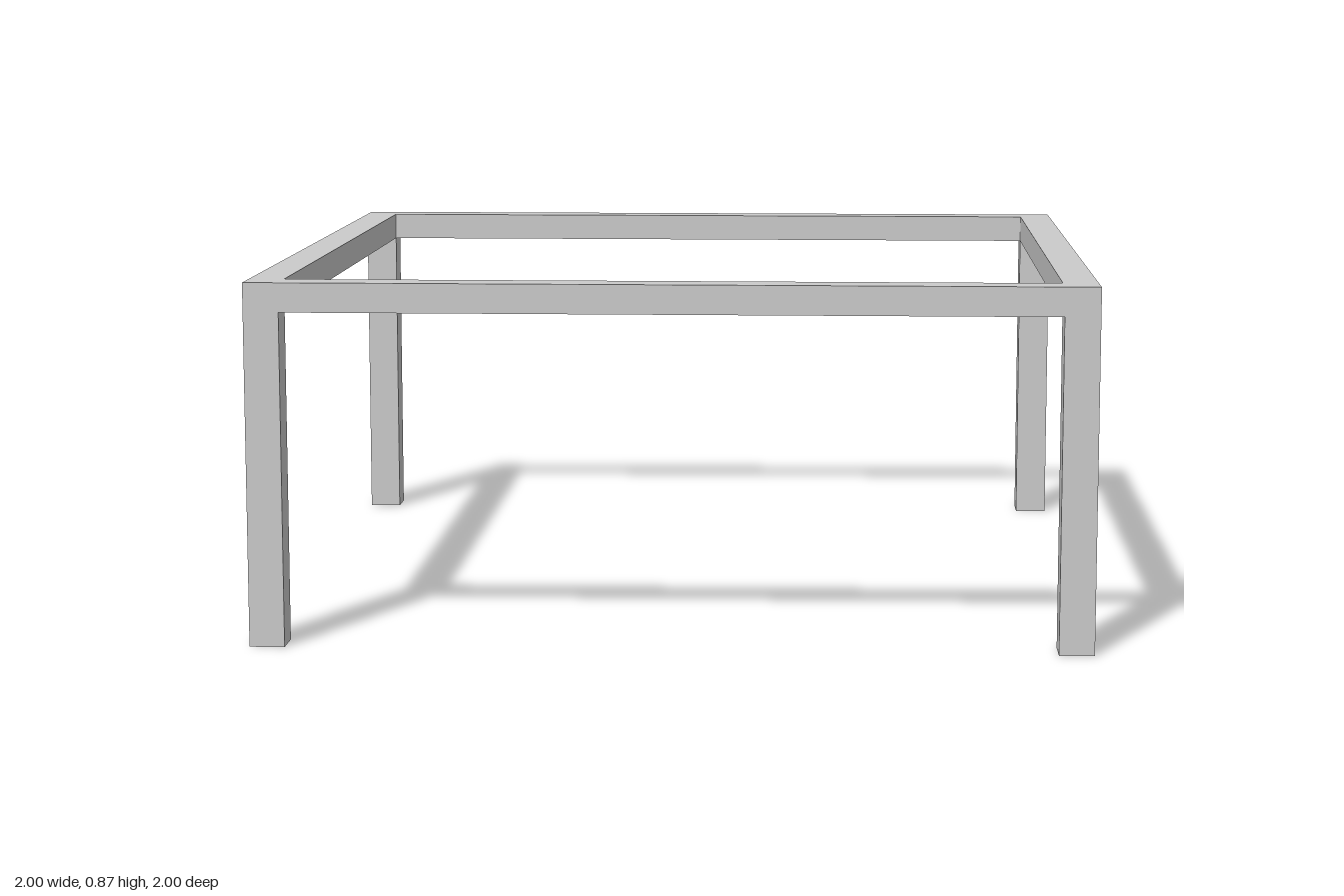
import * as THREE from 'three';

const HALF = 1;          // half of the square footprint
const WIDTH = 0.084;     // leg and rail width
const INNER = HALF - WIDTH;
const HEIGHT = 0.87;
const RAIL_BOTTOM = 0.8;

const material = new THREE.MeshStandardMaterial({ color: 0xcccccc, side: THREE.DoubleSide, flatShading: true });

function addMesh(parent, name, geometry) {
  const mesh = new THREE.Mesh(geometry, material);
  mesh.name = name;
  parent.add(mesh);
  return mesh;
}

const polygon = (points) => new THREE.Shape(points.map(([x, y]) => new THREE.Vector2(x, y)));

// Upright panel facing inwards, on the inner plane of a side
function addInnerPanel(parent, name, x, width, bottom, top) {
  const panel = addMesh(parent, name, new THREE.PlaneGeometry(width, top - bottom));
  panel.position.set(x, (bottom + top) / 2, INNER);
  panel.rotation.y = Math.PI;
}

// One side: outer skin of rail and legs, plus the inner skins
function createSide() {
  const side = new THREE.Group();
  const skin = polygon([
    [-HALF, 0], [-INNER, 0], [-INNER, RAIL_BOTTOM], [INNER, RAIL_BOTTOM],
    [INNER, 0], [HALF, 0], [HALF, HEIGHT], [-HALF, HEIGHT],
  ]);
  addMesh(side, 'outerSkin', new THREE.ShapeGeometry(skin)).position.z = HALF;
  addInnerPanel(side, 'railInnerSkin', 0, 2 * INNER, RAIL_BOTTOM, HEIGHT);
  for (const s of [-1, 1]) {
    addInnerPanel(side, 'legInnerSkin', s * (HALF - WIDTH / 2), WIDTH, 0, RAIL_BOTTOM);
  }
  return side;
}

export function createModel() {
  const table = new THREE.Group();
  table.name = 'tableFrame';

  // Four identical sides; legs and rails are hollow and open underneath
  ['frontSide', 'leftSide', 'backSide', 'rightSide'].forEach((name, i) => {
    const side = createSide();
    side.name = name;
    side.rotation.y = (i * Math.PI) / 2;
    table.add(side);
  });

  // Flat square ring closing the top of the rails
  const square = (r) => [[-r, -r], [r, -r], [r, r], [-r, r]];
  const ring = polygon(square(HALF));
  ring.holes.push(polygon(square(INNER)));
  const top = addMesh(table, 'topRing', new THREE.ShapeGeometry(ring));
  top.rotation.x = -Math.PI / 2;
  top.position.y = HEIGHT;

  return table;
}
